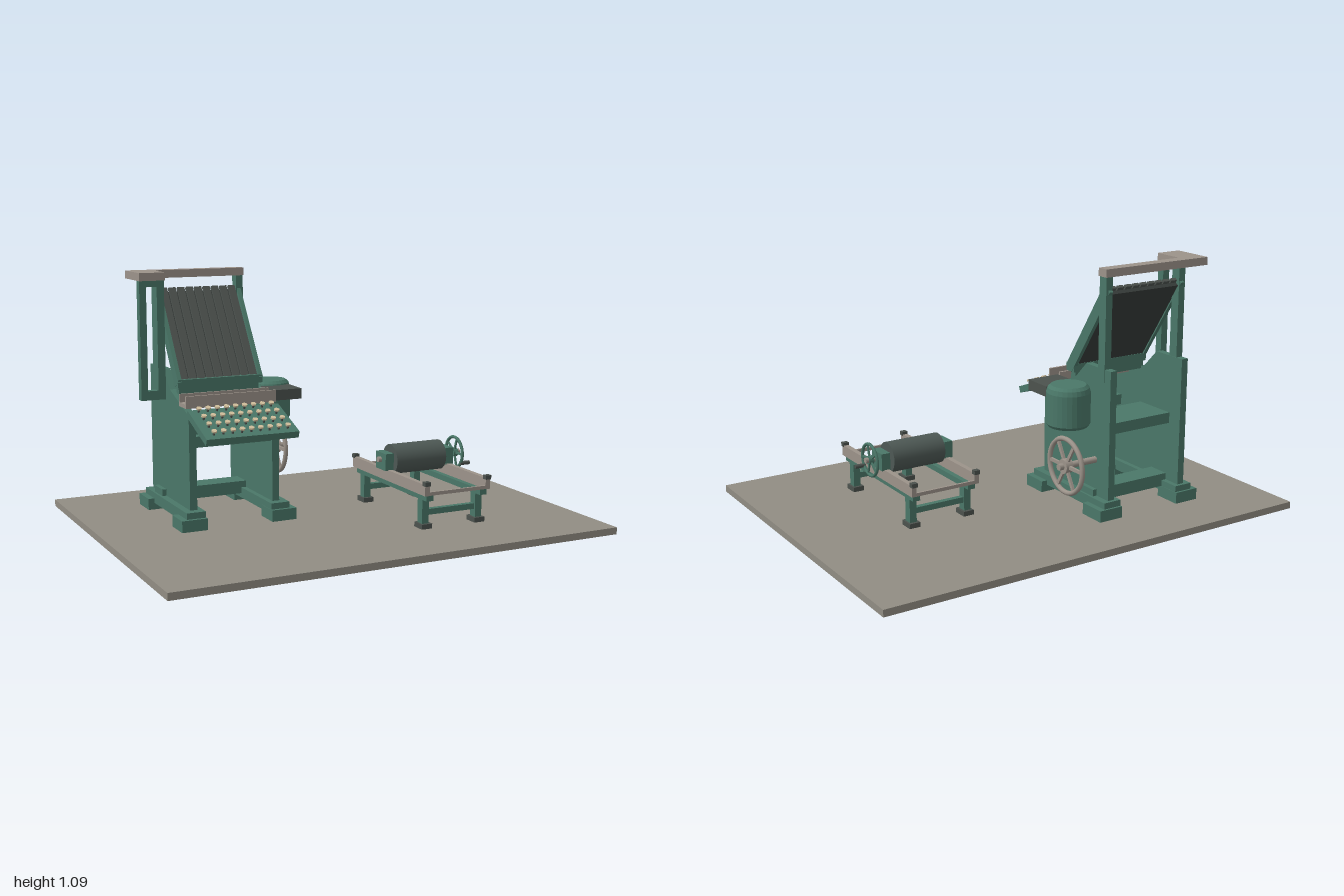
import * as THREE from 'three';

const mat = (name, hex) => {
  const m = new THREE.MeshStandardMaterial({ color: hex });
  m.name = name;
  return m;
};

export function createModel() {
  const green = mat('machine green', 0x4a7768);
  const floorGrey = mat('floor grey', 0x918d83);
  const steel = mat('warm steel', 0x9c938a);
  const dark = mat('dark iron', 0x4c524e);
  const black = mat('blackened iron', 0x363b39);
  const roller = mat('roller grey', 0x4d5854);
  const tan = mat('key tan', 0xd2bf9c);

  const root = new THREE.Group();
  root.name = 'printingWorkshop';
  const group = (name, parent = root) => {
    const g = new THREE.Group();
    g.name = name;
    parent.add(g);
    return g;
  };
  const add = (parent, name, geo, material) => {
    const m = new THREE.Mesh(geo, material);
    m.name = name;
    parent.add(m);
    return m;
  };
  // Box given by its limits on each axis
  const box = (parent, name, material, [x0, x1], [y0, y1], [z0, z1]) => {
    const g = new THREE.BoxGeometry(x1 - x0, y1 - y0, z1 - z0);
    g.translate((x0 + x1) / 2, (y0 + y1) / 2, (z0 + z1) / 2);
    return add(parent, name, g, material);
  };
  // Cylinder lying along x
  const rod = (parent, name, material, r, x0, x1, y, z, sides = 20) => {
    const g = new THREE.CylinderGeometry(r, r, x1 - x0, sides);
    g.rotateZ(Math.PI / 2);
    g.translate((x0 + x1) / 2, y, z);
    return add(parent, name, g, material);
  };
  // Spoked wheel facing along x
  const wheel = (parent, name, material, radius, tube, spokes, x, y, z) => {
    const g = group(name, parent);
    g.position.set(x, y, z);
    add(g, 'rim', new THREE.TorusGeometry(radius, tube, 8, 40).rotateY(Math.PI / 2), material);
    rod(g, 'hub', material, radius * 0.27, -tube * 1.6, tube * 1.6, 0, 0);
    for (let i = 0; i < spokes; i++) {
      const s = new THREE.BoxGeometry(tube, tube * 1.3, radius);
      s.translate(0, 0, radius / 2);
      s.rotateX((i / spokes) * Math.PI * 2);
      add(g, 'spoke', s, material);
    }
    return g;
  };

  box(root, 'floor', floorGrey, [-1, 1], [0, 0.03], [-0.765, 0.765]);

  // ---- Casting machine ----
  const machine = group('castingMachine');
  const CX = -0.415; // centre line of the machine
  const profile = [[0.016, 0.06], [0.49, 0.06], [0.49, 0.67], [0.32, 0.67], [0.24, 0.59], [0.016, 0.51]];
  for (const s of [-1, 1]) {
    const span = (a, b) => [CX + s * a, CX + s * b].sort((p, q) => p - q);
    const side = new THREE.ExtrudeGeometry(
      new THREE.Shape(profile.map(([u, v]) => new THREE.Vector2(u, v))),
      { depth: 0.032, bevelEnabled: false });
    side.rotateY(Math.PI / 2);
    side.translate(CX + s * 0.189 - 0.016, 0, 0);
    add(machine, 'sideFrame', side, green);
    box(machine, 'sill', green, span(0.15, 0.235), [0.06, 0.107], [-0.505, 0.024]);
    for (const z of [[-0.515, -0.39], [-0.08, 0.04]])
      box(machine, 'foot', green, span(0.148, 0.262), [0.03, 0.08], z);
    box(machine, 'backPost', green, span(0.175, 0.207), [0.6, 1.056], [-0.45, -0.405]);
  }
  box(machine, 'lowerCrossbar', green, [-0.64, -0.19], [0.08, 0.136], [-0.41, -0.31]);
  box(machine, 'middleShelf', green, [-0.6, -0.23], [0.37, 0.417], [-0.42, -0.22]);
  box(machine, 'frontCrossbar', green, [-0.6, -0.23], [0.37, 0.417], [-0.08, -0.03]);

  // Keyboard with four rows of keys
  const keyboard = group('keyboard', machine);
  keyboard.position.set(CX, 0.482, 0.08);
  keyboard.rotation.x = 0.37;
  box(keyboard, 'keyboardPanel', green, [-0.206, 0.206], [-0.022, 0.008], [-0.117, 0.117]);
  for (let r = 0; r < 4; r++) {
    for (let c = 0; c < 9; c++) {
      const x = (c - 4) * 0.041, z = -0.098 + r * 0.061;
      add(keyboard, 'keyStem', new THREE.CylinderGeometry(0.005, 0.005, 0.018, 6).translate(x, 0.016, z), dark);
      add(keyboard, 'keyCap', new THREE.CylinderGeometry(0.012, 0.012, 0.007, 8).translate(x, 0.026, z), tan);
    }
  }

  // Line tray above the keyboard
  box(machine, 'trayFloor', steel, [-0.62, -0.21], [0.535, 0.552], [-0.13, -0.045]);
  box(machine, 'trayFrontLip', steel, [-0.62, -0.21], [0.55, 0.587], [-0.055, -0.045]);
  box(machine, 'trayBackLip', steel, [-0.62, -0.21], [0.55, 0.587], [-0.13, -0.12]);

  // Sloping magazine with raised channels
  const magazine = group('magazine', machine);
  magazine.position.set(CX, 0.812, -0.31);
  magazine.rotation.x = -0.583;
  box(magazine, 'backPlate', black, [-0.18, 0.18], [-0.225, 0.215], [-0.018, 0.002]);
  for (let i = 0; i < 9; i++) {
    const x = (i - 4) * 0.04;
    box(magazine, 'channel', dark, [x - 0.016, x + 0.016], [-0.225, 0.23], [0, 0.014]);
  }
  for (const s of [-1, 1])
    box(magazine, 'magazineRail', green, [s * 0.187 - 0.009, s * 0.187 + 0.009], [-0.235, 0.235], [-0.024, 0.024]);
  box(machine, 'magazineRest', green, [-0.61, -0.22], [0.605, 0.64], [-0.22, -0.163]);
  box(machine, 'magazineBracket', green, [-0.6, -0.23], [0.57, 0.605], [-0.215, -0.185]);

  // Open lift frame on the right, with the beam across the top
  const lift = group('liftFrame', machine);
  for (const x of [[-0.74, -0.71], [-0.663, -0.63]])
    box(lift, 'liftPost', green, x, [0.545, 1.056], [-0.297, -0.262]);
  box(lift, 'liftFoot', green, [-0.71, -0.663], [0.545, 0.585], [-0.297, -0.262]);
  box(lift, 'liftHead', green, [-0.71, -0.663], [1.03, 1.056], [-0.297, -0.262]);
  box(machine, 'topBeam', steel, [-0.74, -0.205], [1.056, 1.09], [-0.453, -0.4]);
  box(machine, 'topBeamReturn', steel, [-0.74, -0.625], [1.056, 1.09], [-0.4, -0.262]);

  // Motor, its bracket and the drive wheel
  const motorProfile = [[0, 0.412], [0.085, 0.412], [0.094, 0.425], [0.094, 0.56], [0.088, 0.58], [0.075, 0.592], [0, 0.592]];
  const motor = new THREE.LatheGeometry(motorProfile.map(([r, y]) => new THREE.Vector2(r, y)), 28).toNonIndexed();
  motor.computeVertexNormals();
  add(machine, 'motor', motor, green).position.set(-0.122, 0, -0.317);
  box(machine, 'motorBracket', dark, [-0.21, -0.057], [0.528, 0.574], [-0.25, -0.112]);
  rod(machine, 'driveShaft', steel, 0.014, -0.23, -0.02, 0.265, -0.395);
  wheel(machine, 'driveWheel', steel, 0.117, 0.011, 6, -0.058, 0.265, -0.395);

  // ---- Proof press ----
  const press = group('proofPress');
  const PX = 0.397; // centre line of the press
  for (const s of [-1, 1]) {
    const span = (a, b) => [PX + s * a, PX + s * b].sort((p, q) => p - q);
    box(press, 'bedRail', steel, span(0.138, 0.16), [0.18, 0.228], [-0.18, 0.465]);
    box(press, 'railSupport', green, span(0.115, 0.148), [0.155, 0.18], [-0.167, 0.457]);
    box(press, 'bearing', green, span(0.132, 0.172), [0.225, 0.3], [0.058, 0.148]);
    for (const z of [-0.175, 0.458])
      box(press, 'cornerStop', dark, span(0.136, 0.162), [0.222, 0.24], [z - 0.012, z + 0.012]);
    for (const z of [-0.115, 0.402]) {
      box(press, 'pressLeg', green, span(0.115, 0.147), [0.05, 0.157], [z - 0.019, z + 0.019]);
      box(press, 'pressFoot', dark, span(0.105, 0.155), [0.03, 0.051], [z - 0.032, z + 0.032]);
    }
  }
  for (const z of [-0.115, 0.402])
    box(press, 'legCrossbar', green, [0.275, 0.52], [0.085, 0.11], [z - 0.012, z + 0.012]);
  for (const z of [-0.175, 0.458])
    box(press, 'bedEnd', steel, [0.245, 0.55], [0.18, 0.195], [z - 0.005, z + 0.005]);
  rod(press, 'impressionRoller', roller, 0.066, 0.272, 0.52, 0.266, 0.103, 32);
  rod(press, 'rollerShaft', steel, 0.012, 0.21, 0.625, 0.27, 0.103);
  wheel(press, 'handWheel', green, 0.069, 0.007, 5, 0.6, 0.268, 0.106);
  rod(press, 'crankHandle', dark, 0.009, 0.595, 0.642, 0.228, 0.164, 10);

  return root;
}
